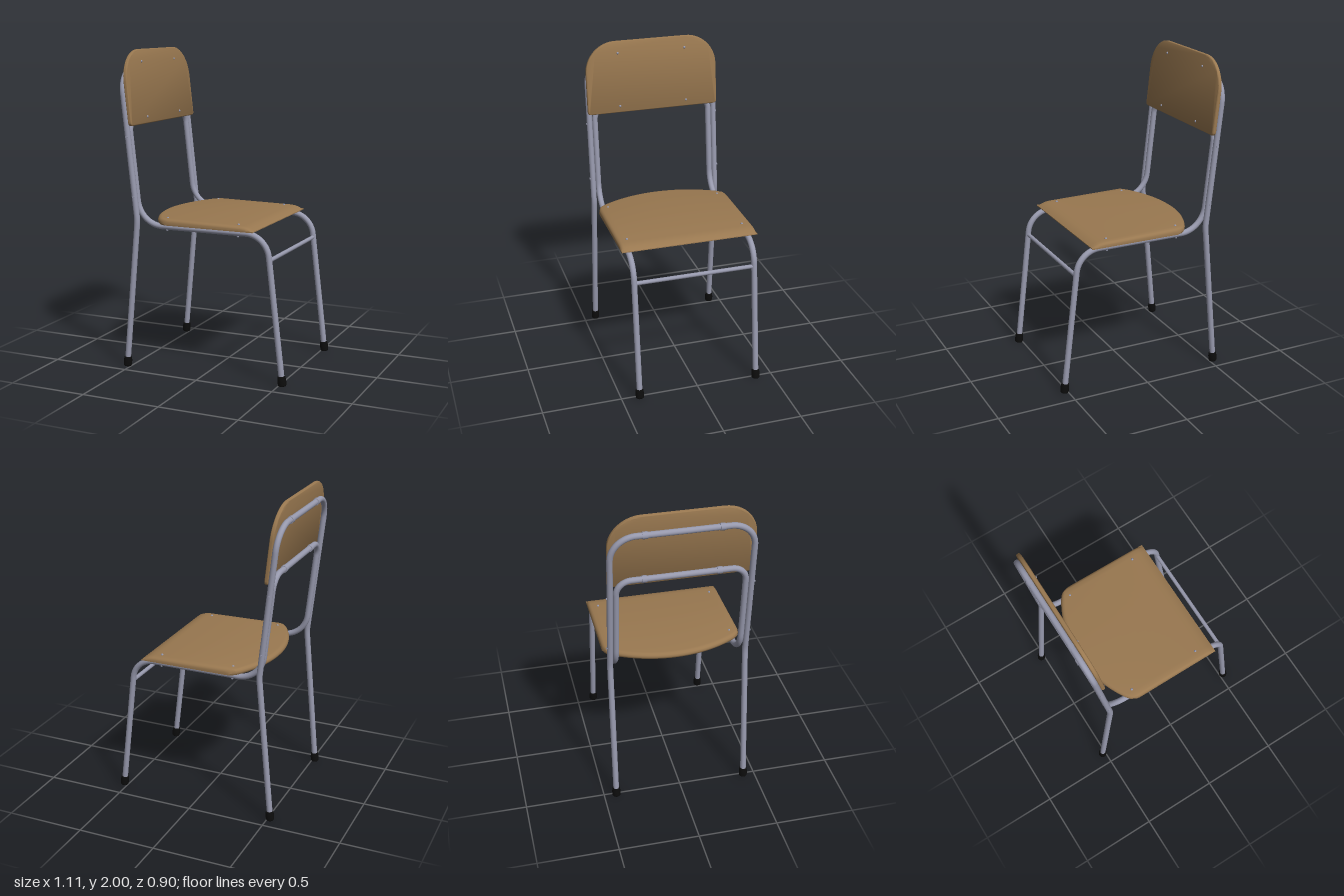
import * as THREE from 'three';
import { toCreasedNormals, mergeVertices } from 'three/addons/utils/BufferGeometryUtils.js';

const V = (x, y, z) => new THREE.Vector3(x, y, z);
const TUBE_R = 0.0185;
const TILT = Math.atan2(0.104, 0.94);
// x of the leaning back tubes at height y
const leanX = (y) => -0.436 - (y - 0.95) * 0.104 / 0.94;

// Polyline with circular bends: points are [x, y, z, bendRadius]
function bentPath(points) {
  const path = new THREE.CurvePath();
  let from = V(...points[0].slice(0, 3));
  for (let i = 1; i < points.length; i++) {
    const p = V(...points[i].slice(0, 3));
    const r = points[i][3];
    if (!r) {
      path.add(new THREE.LineCurve3(from, p));
      from = p;
      continue;
    }
    const next = V(...points[i + 1].slice(0, 3));
    const din = p.clone().sub(V(...points[i - 1].slice(0, 3))).normalize();
    const dout = next.sub(p).normalize();
    const phi = din.angleTo(dout);
    const trim = r * Math.tan(phi / 2);
    const handle = (4 / 3) * Math.tan(phi / 4) * r;
    const a = p.clone().addScaledVector(din, -trim);
    const b = p.clone().addScaledVector(dout, trim);
    path.add(new THREE.LineCurve3(from, a));
    path.add(new THREE.CubicBezierCurve3(a, a.clone().addScaledVector(din, handle),
      b.clone().addScaledVector(dout, -handle), b));
    from = b;
  }
  return path;
}

// Mirror a half path (foot to middle) across z = 0
const mirrored = (half) => [...half, ...half.slice().reverse().map(([x, y, z, r]) => [x, y, -z, r])];

// Seat lofted across its width from side profiles
function seatGeometry() {
  const W = 0.437, stations = [];
  const backEdge = (z) => {
    const arc = 0.319 - Math.sqrt(0.737 ** 2 - z * z);
    const corner = Math.max(0, (Math.abs(z) - 0.405) / (W - 0.405));
    return arc + 0.035 * corner * corner;
  };
  const profile = (z, drop) => {
    const b = backEdge(z);
    const top = [[0.345, 0.942], [0.335, 0.948], [0.315, 0.958], [0.295, 0.964], [0.265, 0.968],
      [b + 0.03, 0.975], [b + 0.015, 0.972], [b + 0.005, 0.965], [b, 0.954]];
    const bottom = [[b + 0.002, 0.945], [b + 0.009, 0.937], [0.345, 0.937]];
    return [...top.map(([x, y]) => [x, Math.max(0.941, y - drop), z]),
      ...bottom.map(([x, y]) => [x, y, z])];
  };
  for (let i = 0; i <= 28; i++) stations.push(profile(-0.417 + 0.834 * i / 28, 0));
  // rounded side edges, closed at the outermost line
  for (const s of [-1, 1]) {
    const edge = [[0.426, 0.003], [0.433, 0.009], [W, 0.018]].map(([z, d]) => profile(s * z, d));
    edge.push(profile(s * W, 0).map(([x, , z]) => [x, 0.945, z]));
    if (s > 0) stations.push(...edge);
    else stations.unshift(...edge.reverse());
  }
  const n = stations[0].length, index = [];
  for (let i = 0; i < stations.length - 1; i++) {
    for (let j = 0; j < n; j++) {
      const a = i * n + j, b = i * n + (j + 1) % n;
      index.push(a, b, a + n, b, b + n, a + n);
    }
  }
  const g = new THREE.BufferGeometry();
  g.setAttribute('position', new THREE.Float32BufferAttribute(stations.flat(2), 3));
  g.setIndex(index);
  return toCreasedNormals(mergeVertices(g), 0.7);
}

// Backrest board: broad round shoulders, small lower corners
function backrestGeometry() {
  const w = 0.437, h = 0.233, R = 0.2, r = 0.025, k = 0.45;
  const s = new THREE.Shape();
  s.moveTo(-w + r, -h);
  s.lineTo(w - r, -h);
  s.quadraticCurveTo(w, -h, w, -h + r);
  s.lineTo(w, h - R);
  s.bezierCurveTo(w, h - R * k, w - R * k, h, w - R, h);
  s.lineTo(-w + R, h);
  s.bezierCurveTo(-w + R * k, h, -w, h - R * k, -w, h - R);
  s.lineTo(-w, -h + r);
  s.quadraticCurveTo(-w, -h, -w + r, -h);
  const g = new THREE.ExtrudeGeometry(s, {
    depth: 0.006, bevelThickness: 0.01, bevelSize: 0.01, bevelOffset: -0.01,
    bevelSegments: 4, curveSegments: 14,
  });
  g.translate(0, 0, -0.003);
  g.rotateY(Math.PI / 2);
  return toCreasedNormals(g, 0.6);
}

export function createModel() {
  const chair = new THREE.Group();
  chair.name = 'chair';
  const material = (name, color) => {
    const m = new THREE.MeshStandardMaterial({ color });
    m.name = name;
    return m;
  };
  const wood = material('wood', 0x997850);
  const steel = material('steel', 0x9799ad);
  const rubber = material('black rubber', 0x0c0c0c);

  const add = (name, geometry, mat, parent = chair) => {
    const m = new THREE.Mesh(geometry, mat);
    m.name = name;
    parent.add(m);
    return m;
  };

  // Bent tube frames
  const rearFrame = mirrored([
    [-0.521, 0.02, 0.423, 0], [-0.436, 0.95, 0.423, 0.3], [leanX(1.88), 1.88, 0.423, 0.15],
  ]);
  const seatFrame = mirrored([
    [0.522, 0.02, 0.387, 0], [0.415, 0.92, 0.387, 0.15],
    [leanX(0.92), 0.92, 0.387, 0.17], [leanX(1.58), 1.58, 0.387, 0.09],
  ]);
  add('rearFrame', new THREE.TubeGeometry(bentPath(rearFrame), 300, TUBE_R, 14), steel);
  add('seatFrame', new THREE.TubeGeometry(bentPath(seatFrame), 400, TUBE_R, 14), steel);

  // Cross bar between the front legs
  const bar = add('frontCrossBar', new THREE.CylinderGeometry(0.013, 0.013, 0.76, 12), steel);
  bar.rotation.x = Math.PI / 2;
  bar.position.set(0.433, 0.767, 0);

  // Wooden seat and backrest
  add('seat', seatGeometry(), wood);
  const backrest = new THREE.Group();
  backrest.name = 'backrest';
  backrest.position.set(-0.497, 1.767, 0);
  backrest.rotation.z = TILT;
  chair.add(backrest);
  add('backrestBoard', backrestGeometry(), wood, backrest);

  // Rubber feet in line with the legs
  const footProfile = [[0, 0], [0.021, 0], [0.026, 0.006], [0.027, 0.035], [0.024, 0.058], [0.018, 0.062]]
    .map(([x, y]) => new THREE.Vector2(x, y));
  const footGeometry = toCreasedNormals(new THREE.LatheGeometry(footProfile, 12), 0.6);
  const screwHead = new THREE.SphereGeometry(0.008, 10, 6);
  const collar = new THREE.CylinderGeometry(0.022, 0.022, 0.03, 14);
  const rivet = new THREE.CylinderGeometry(0.007, 0.007, 0.006, 10);

  for (const s of [-1, 1]) {
    const rearFoot = add('rearFoot', footGeometry, rubber);
    rearFoot.position.set(-0.522, 0.002, s * 0.423);
    rearFoot.rotation.z = -0.09;
    const frontFoot = add('frontFoot', footGeometry, rubber);
    frontFoot.position.set(0.524, 0.002, s * 0.387);
    frontFoot.rotation.z = 0.118;

    // Seat screws, with their ends below the tube
    for (const x of [-0.247, 0.23]) {
      add('seatScrew', screwHead, steel).position.set(x, x < 0 ? 0.973 : 0.969, s * 0.375);
      add('seatScrewEnd', screwHead, steel).position.set(x, 0.9, s * 0.387);
    }
    // Backrest screws and the collars on the bars behind
    for (const y of [1.88, 1.58]) {
      const c = add('barCollar', collar, steel);
      c.rotation.x = Math.PI / 2;
      c.position.set(leanX(y), y, s * 0.223);
      add('backrestScrew', screwHead, steel, backrest)
        .position.set(0.012, y === 1.88 ? 0.156 : -0.19, s * 0.223);
    }
    // Rivets joining the two frames
    for (const y of [1.1, 1.47]) {
      const v = add('frameRivet', rivet, steel);
      v.rotation.x = Math.PI / 2;
      v.position.set(leanX(y), y, s * 0.442);
    }
  }
  return chair;
}
